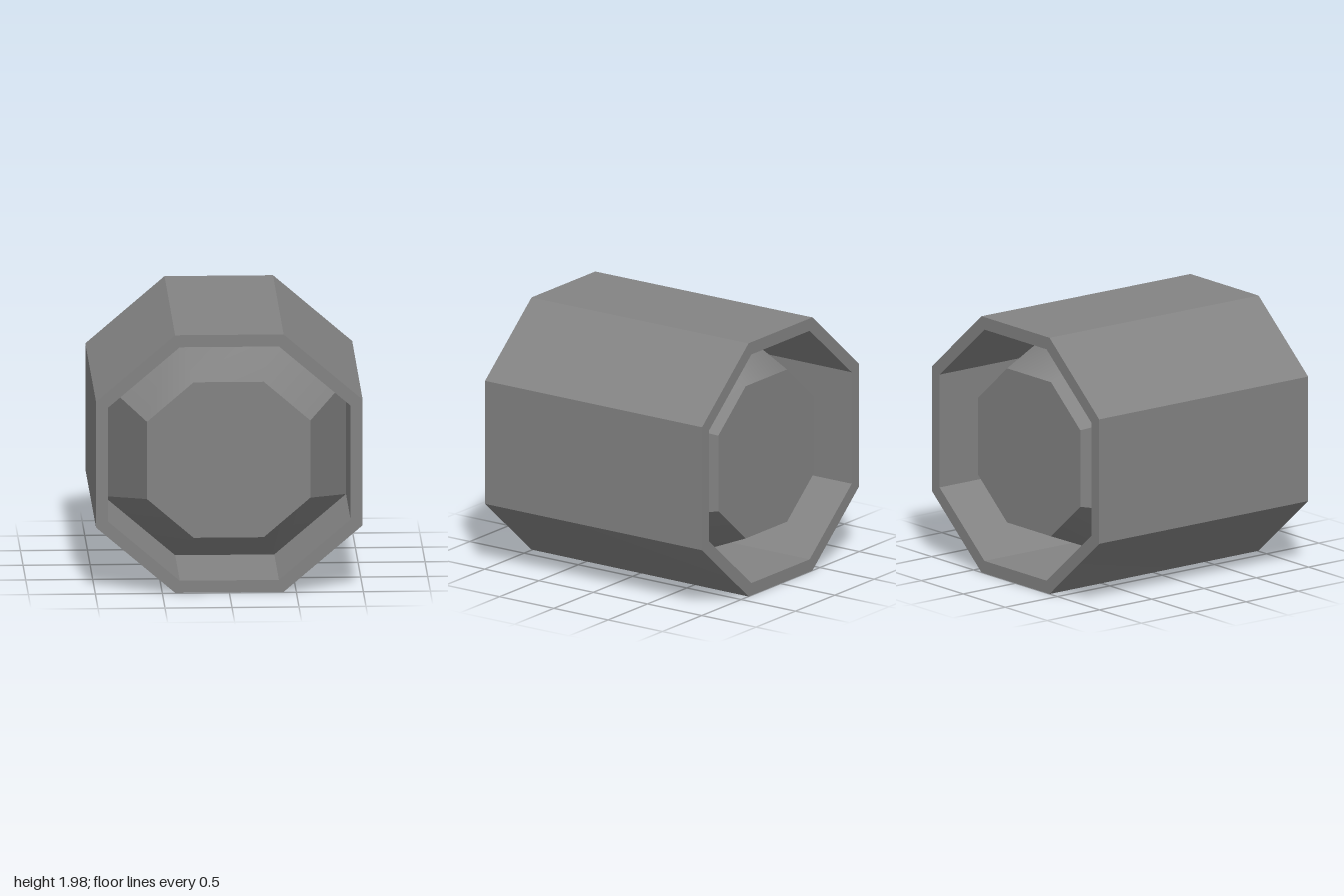
import * as THREE from 'three';
import { toCreasedNormals } from 'three/addons/utils/BufferGeometryUtils.js';

const MID_Y = 0.988;
const CREASE = 0.68; // softens only the shallow corners of the plug tapers

// Counter-clockwise octagon: [half width, half height, flat half width, flat half height]
const OUTER_FRONT = [0.995, 0.984, 0.405, 0.48];
const OUTER_BACK = [0.996, 0.988, 0.405, 0.48];
const BORE = [0.905, 0.892, 0.37, 0.435];
const CAP = [0.61, 0.594, 0.262, 0.295];

const octagon = ([w, h, fx, fy]) =>
  [[w, -fy], [w, fy], [fx, h], [-fx, h], [-w, fy], [-w, -fy], [-fx, -h], [fx, -h]];

// Joins a list of [profile, z] rings into a skin with sharp main edges
function loft(rings) {
  const pos = [];
  for (let r = 0; r < rings.length - 1; r++) {
    const [a, b] = [rings[r], rings[r + 1]].map(([p, z]) => octagon(p).map(([x, y]) => [x, y, z]));
    for (let i = 0; i < 8; i++) {
      const j = (i + 1) % 8;
      pos.push(...a[i], ...b[i], ...a[j], ...b[i], ...b[j], ...a[j]);
    }
  }
  const g = new THREE.BufferGeometry();
  g.setAttribute('position', new THREE.Float32BufferAttribute(pos, 3));
  return toCreasedNormals(g, CREASE);
}

export function createModel() {
  const model = new THREE.Group();
  model.name = 'octagonalBarrel';
  const material = new THREE.MeshStandardMaterial({ color: 0x838383 });
  const add = (parent, geometry, name) => {
    const mesh = new THREE.Mesh(geometry, material);
    mesh.name = name;
    parent.add(mesh);
    return mesh;
  };

  const recess = 0.13; // plug face below the rim
  const depth = 0.87;  // bottom of the recess around the plug

  // Outer shell with a flat rim and a bore wall at both ends
  add(model, loft([
    [BORE, 1 - depth], [BORE, 1], [OUTER_FRONT, 1],
    [OUTER_BACK, -1], [BORE, -1], [BORE, depth - 1],
  ]), 'shell').position.y = MID_Y;

  // Tapered plug standing inside each end
  for (const [name, turn] of [['frontPlug', 0], ['backPlug', Math.PI]]) {
    const plug = new THREE.Group();
    plug.name = name;
    plug.position.y = MID_Y;
    plug.rotation.y = turn;
    add(plug, loft([[CAP, 1 - recess], [BORE, 1 - depth]]), name + 'Taper');
    const face = new THREE.Shape(octagon(CAP).map(([x, y]) => new THREE.Vector2(x, y)));
    add(plug, new THREE.ShapeGeometry(face), name + 'Face').position.z = 1 - recess;
    model.add(plug);
  }
  return model;
}
